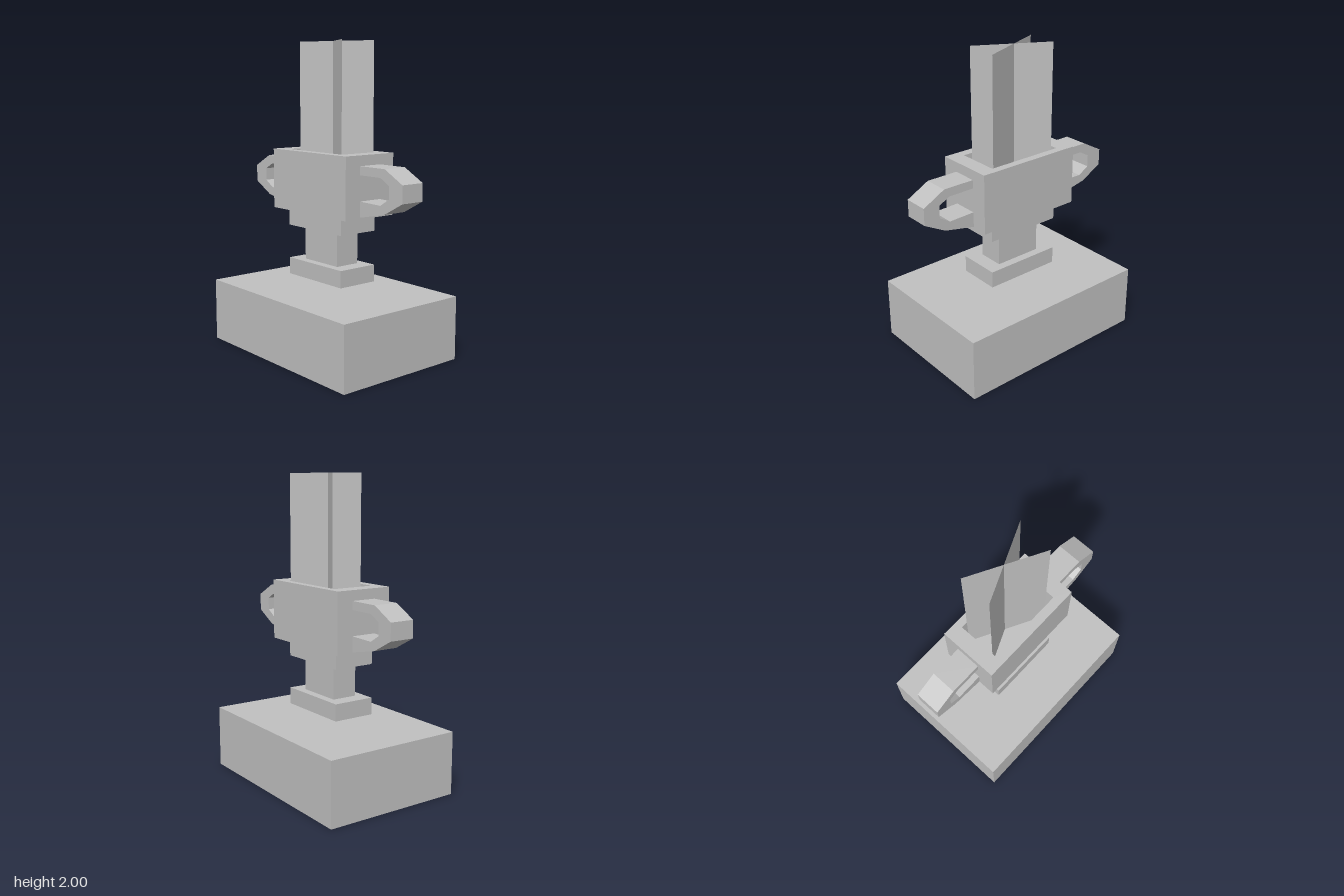
import * as THREE from 'three';

const stone = new THREE.MeshStandardMaterial({ color: 0xc0c0c0 });
stone.name = 'grey stone';
const sheet = new THREE.MeshStandardMaterial({ color: 0xc0c0c0, side: THREE.DoubleSide });
sheet.name = 'grey sheet';

export function createModel() {
  const model = new THREE.Group();
  model.name = 'plantedUrn';

  const add = (name, geometry, material = stone) => {
    const mesh = new THREE.Mesh(geometry, material);
    mesh.name = name;
    model.add(mesh);
    return mesh;
  };
  const box = (name, w, d, y0, y1, z = 0) =>
    add(name, new THREE.BoxGeometry(w, y1 - y0, d)).position.set(0, (y0 + y1) / 2, z);
  const points = (list) => list.map(([x, y]) => new THREE.Vector2(x, y));

  // Plinth and stepped foot, with the foot floating above the plinth
  box('plinth', 1.34, 0.93, 0, 0.41);
  box('foot', 0.52, 0.28, 0.48, 0.59);
  box('stem', 0.32, 0.17, 0.59, 0.81);
  box('collar', 0.52, 0.28, 0.81, 0.92);

  // Hollow urn body: a floor and an extruded wall with a rectangular opening
  const floorY = 1.01, rimY = 1.31;
  box('urnFloor', 0.725, 0.39, 0.92, floorY, -0.005);
  const wall = new THREE.Shape(points([[-0.3625, -0.19], [0.3625, -0.19], [0.3625, 0.2], [-0.3625, 0.2]]));
  wall.holes.push(new THREE.Path(points([[-0.26, -0.13], [-0.26, 0.15], [0.26, 0.15], [0.26, -0.13]])));
  const wallGeometry = new THREE.ExtrudeGeometry(wall, { depth: rimY - floorY, bevelEnabled: false });
  wallGeometry.rotateX(-Math.PI / 2).translate(0, floorY, 0);
  add('urnWall', wallGeometry);

  // Angular loop handles, mirrored to both sides
  const profile = [
    [0.36, 0.93], [0.575, 0.975], [0.723, 1.055], [0.723, 1.165], [0.575, 1.245], [0.36, 1.245],
    [0.36, 1.19], [0.54, 1.19], [0.613, 1.15], [0.613, 1.07], [0.54, 1.025], [0.36, 1.03],
  ];
  for (const [name, side] of [['leftHandle', 1], ['rightHandle', -1]]) {
    const shape = new THREE.Shape(points(profile.map(([x, y]) => [x * side, y])));
    const geometry = new THREE.ExtrudeGeometry(shape, { depth: 0.165, bevelEnabled: false });
    add(name, geometry.translate(0, 0, -0.09));
  }

  // Two crossed upright sheets of foliage standing in the urn
  const foliage = (name, x0, z0, x1, z1) => {
    const plane = new THREE.PlaneGeometry(Math.hypot(x1 - x0, z1 - z0), 2 - floorY);
    const mesh = add(name, plane, sheet);
    mesh.position.set((x0 + x1) / 2, (2 + floorY) / 2, (z0 + z1) / 2);
    mesh.rotation.y = -Math.atan2(z1 - z0, x1 - x0);
  };
  foliage('foliageSheetA', -0.225, -0.14, 0.22, 0.1);
  foliage('foliageSheetB', -0.23, 0.07, 0.245, -0.14);

  return model;
}
